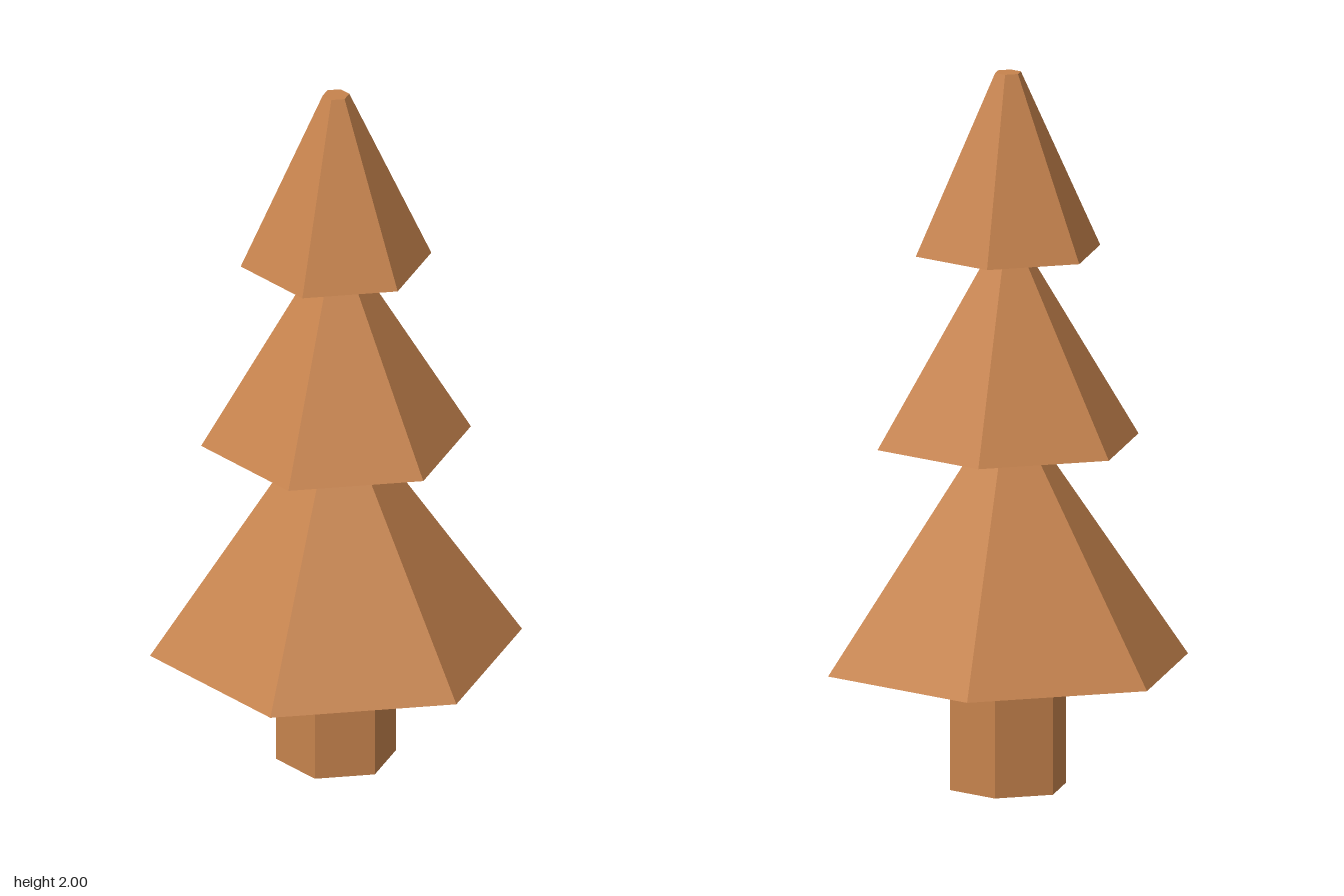
import * as THREE from 'three';

export function createModel() {
  const model = new THREE.Group();
  model.name = 'tree';

  const wood = new THREE.MeshStandardMaterial({ color: 0xc6834d });
  wood.name = 'warm brown';

  // Six-sided frustum with corners on the z axis and flat facets
  const addFrustum = (name, bottomRadius, topRadius, bottomY, topY) => {
    const height = topY - bottomY;
    const geometry = new THREE.CylinderGeometry(topRadius, bottomRadius, height, 6).toNonIndexed();
    geometry.computeVertexNormals();
    const mesh = new THREE.Mesh(geometry, wood);
    mesh.name = name;
    mesh.position.y = bottomY + height / 2;
    model.add(mesh);
  };

  // Trunk
  addFrustum('trunk', 0.167, 0.167, 0, 0.34);

  // Foliage tiers, each resting on the one below
  addFrustum('lowerFoliage', 0.517, 0.09, 0.34, 0.965);
  addFrustum('middleFoliage', 0.375, 0.054, 0.965, 1.5);
  addFrustum('upperFoliage', 0.265, 0.037, 1.5, 2);

  return model;
}
